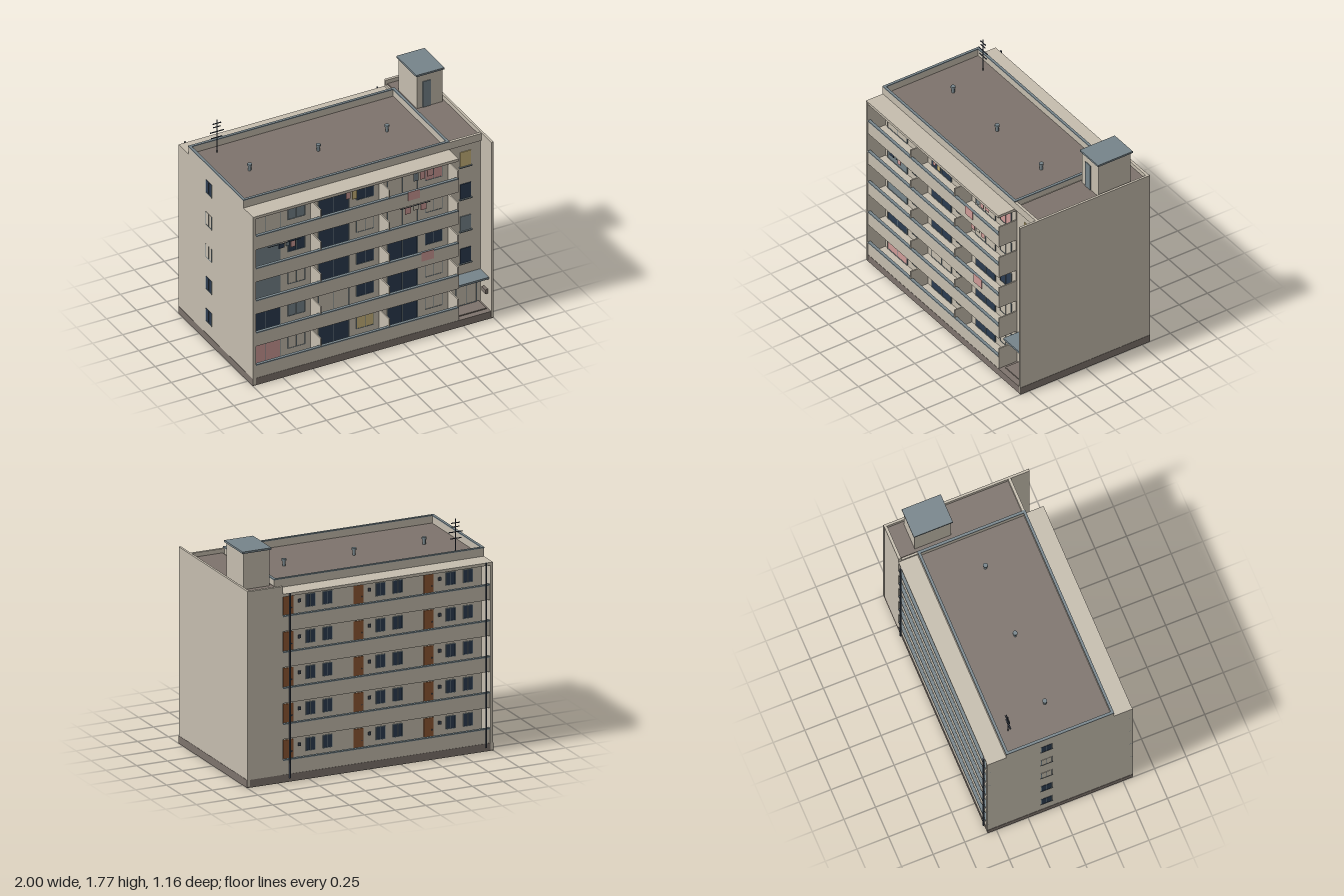
import * as THREE from 'three';

const mat = (name, color) => {
  const m = new THREE.MeshStandardMaterial({ color });
  m.name = name;
  return m;
};

export function createModel() {
  const root = new THREE.Group();
  root.name = 'apartmentBlock';
  const M = {
    wall: mat('plaster', 0xc5bdae),
    base: mat('roofFelt', 0x7d736c),
    slate: mat('slateMetal', 0x76848a),
    navy: mat('darkGlass', 0x2b3b50),
    pink: mat('pinkCloth', 0xcf9a97),
    yellow: mat('yellowCloth', 0xcab67c),
    door: mat('woodDoor', 0x8d5632),
    iron: mat('darkIron', 0x3a4350),
  };
  const add = (name, geo, m, x, y, z) => {
    const o = new THREE.Mesh(geo, m);
    o.name = name;
    o.position.set(x, y, z);
    root.add(o);
    return o;
  };
  // Box given by its limits on each axis
  const box = (name, m, x0, x1, y0, y1, z0, z1) =>
    add(name, new THREE.BoxGeometry(x1 - x0, y1 - y0, z1 - z0), m, (x0 + x1) / 2, (y0 + y1) / 2, (z0 + z1) / 2);
  const rod = (name, m, r, x, y0, y1, z, n = 8) =>
    add(name, new THREE.CylinderGeometry(r, r, y1 - y0, n), m, x, (y0 + y1) / 2, z);

  const PITCH = 0.277, R = 0.71, L = -0.976;
  const F = 0.42;                    // front and rear face of the flats
  const flats = [-0.715, -0.145, 0.425];

  // Main volumes
  box('plinth', M.base, -1, 1, 0, 0.06, -0.57, 0.577);
  box('flatsBlock', M.wall, L, R, 0.05, 1.45, -F, F);
  box('leftEndWall', M.wall, -0.998, L, 0.01, 1.45, -0.572, 0.579);
  box('rightEndWall', M.wall, 0.98, 0.998, 0.01, 1.515, -0.572, 0.579);
  box('stairTower', M.wall, R, 0.98, 0.05, 1.47, -0.57, 0.41);
  box('stairRoof', M.base, R + 0.015, 0.98, 1.47, 1.48, -0.55, 0.41);
  box('stairParapetBack', M.wall, R, 0.98, 1.47, 1.512, -0.57, -0.548);
  box('stairParapetFront', M.wall, R, 0.98, 1.45, 1.512, 0.408, 0.43);
  box('topSlab', M.wall, -0.998, R, 1.43, 1.452, -0.57, 0.577);

  // Main roof with parapet and coping
  box('roofDeck', M.base, -0.98, 0.7, 1.452, 1.46, -0.41, 0.42);
  const ring = (name, m, y0, y1, t, g) => {
    box(name, m, -0.998 - g, R + g, y0, y1, 0.43 - t, 0.43 + g);
    box(name, m, -0.998 - g, R + g, y0, y1, -0.42 - g, -0.42 + t);
    box(name, m, -0.998 - g, -0.998 + t, y0, y1, -0.42 + t, 0.43 - t);
    box(name, m, R - t, R + g, y0, y1, -0.42 + t, 0.43 - t);
  };
  ring('roofParapet', M.wall, 1.452, 1.514, 0.016, 0);
  ring('roofCoping', M.slate, 1.514, 1.522, 0.019, 0.002);
  for (const x of flats) {
    rod('ventPipe', M.slate, 0.012, x, 1.46, 1.5, 0, 12);
    rod('ventCap', M.slate, 0.018, x, 1.5, 1.515, 0, 12);
  }

  // Aerial
  rod('aerialMast', M.iron, 0.004, -0.81, 1.45, 1.74, -0.33);
  for (const [y, h] of [[1.71, 0.036], [1.68, 0.03], [1.64, 0.057], [1.59, 0.045]])
    box('aerialBar', M.iron, -0.81 - h, -0.81 + h, y - 0.003, y + 0.003, -0.333, -0.327);

  // Stair head on the roof
  box('stairHead', M.wall, 0.75, 0.96, 1.47, 1.76, -0.425, -0.14);
  box('stairHeadCap', M.slate, 0.738, 0.972, 1.76, 1.775, -0.437, -0.128);
  box('stairHeadDoor', M.slate, 0.795, 0.862, 1.48, 1.7, -0.141, -0.134);

  // Glazing on a front (s = 1) or rear (s = -1) wall
  const glazing = (name, m, x, w, y0, y1, z, s) => {
    const at = (n, mm, a, b, c, d, t) => box(n, mm, a, b, c, d, Math.min(z, z + s * t), Math.max(z, z + s * t));
    at(name, m, x - w / 2, x + w / 2, y0, y1, 0.004);
    for (const k of [-1, 0, 1])
      at(name + 'Mullion', M.slate, x + k * w / 2 - 0.002, x + k * w / 2 + 0.002, y0, y1, 0.007);
    for (const y of [y0, y1])
      at(name + 'Rail', M.slate, x - w / 2, x + w / 2, y - 0.002, y + 0.002, 0.007);
  };

  // Per floor: wide and narrow pane for each flat (w = drawn pale curtain)
  const panes = ['p w n y n w', 'n s w n n w', 's w n n n n', 's n n w w w', 'w s n n w p'].map((r) => r.split(' '));
  const key = { p: M.pink, w: M.wall, n: M.navy, y: M.yellow, s: M.slate };
  const endPanes = [M.navy, M.navy, M.wall, M.wall, M.navy];

  for (let i = 0; i < 5; i++) {
    const y = i * PITCH;
    // Balcony and gallery: slab, parapet, handrail
    for (const s of [1, -1]) {
      const o = s > 0 ? 0.575 : 0.568;
      const zz = (a, b) => (s > 0 ? [a, b] : [-b, -a]);
      box(s > 0 ? 'balconySlab' : 'gallerySlab', M.wall, L, R, y + 0.055, y + 0.07, ...zz(F, o - 0.001));
      box(s > 0 ? 'balconyParapet' : 'galleryParapet', M.wall, L, R, y + 0.056, y + 0.166, ...zz(o - 0.018, o));
      box(s > 0 ? 'balconyRail' : 'galleryRail', M.slate, -0.998, R, y + 0.166, y + 0.175, ...zz(o - 0.021, o + 0.003));
    }
    flats.forEach((c, j) => {
      // Balcony divider
      box('balconyDivider', M.wall, c + 0.279, c + 0.289, y + 0.06, y + 0.24, F, 0.572);
      glazing('balconyDoor', key[panes[i][j * 2]], c - 0.1, 0.25, y + 0.075, y + 0.275, F, 1);
      glazing('balconyWindow', key[panes[i][j * 2 + 1]], c + 0.16, 0.14, y + 0.13, y + 0.273, F, 1);
      box('shutterBox', M.slate, c - 0.235, c + 0.035, y + 0.277, y + 0.292, F, F + 0.045);
      // Gallery side
      box('flatDoor', M.door, c + 0.13, c + 0.21, y + 0.07, y + 0.272, -F - 0.006, -F);
      box('doorKnob', M.iron, c + 0.14, c + 0.148, y + 0.175, y + 0.183, -F - 0.012, -F - 0.006);
      box('meterBox', M.iron, c + 0.07, c + 0.09, y + 0.21, y + 0.235, -F - 0.01, -F);
      for (const d of [-0.01, -0.15])
        glazing('galleryWindow', M.navy, c + d, 0.075, y + 0.165, y + 0.262, -F, -1);
      rod('galleryLamp', M.slate, 0.014, c + 0.17, y + 0.322, y + 0.334, -0.5, 10);
      rod('balconyLamp', M.iron, 0.003, c, y + 0.3, y + 0.334, 0.5, 6);
    });
    // Window in the left end wall
    box('endWindow', endPanes[i], -1.0, -0.997, y + 0.17, y + 0.275, -0.145, -0.06);
    for (const z of [-0.145, -0.1025, -0.06])
      box('endWindowFrame', M.slate, -1.002, -0.997, y + 0.17, y + 0.275, z - 0.003, z + 0.003);
    box('endWindowSill', M.slate, -1.002, -0.997, y + 0.164, y + 0.17, -0.152, -0.053);
  }

  // Stair windows
  [M.navy, M.slate, M.navy, M.yellow].forEach((m, i) => {
    const y = 0.43 + i * PITCH;
    box('stairWindow', m, 0.81, 0.9, y, y + 0.125, 0.41, 0.416);
    box('stairWindowSill', M.slate, 0.803, 0.907, y - 0.008, y, 0.41, 0.425);
  });

  // Entrance
  box('entranceCanopy', M.slate, 0.73, 0.98, 0.32, 0.336, 0.41, 0.545);
  box('entranceStep', M.base, 0.735, 0.965, 0.06, 0.068, 0.41, 0.53);
  glazing('entranceDoor', M.wall, 0.86, 0.17, 0.07, 0.3, 0.41, 1);
  box('letterBox', M.base, 0.957, 0.98, 0.19, 0.225, 0.47, 0.53);

  // Rain pipes
  for (const x of [-0.94, 0.655]) rod('rainPipe', M.iron, 0.007, x, 0.03, 1.455, -0.577);

  // Laundry: colour, x0, x1, y0, y1, z
  const cloth = [
    [M.pink, 0.29, 0.385, 1.215, 1.287, 0.579], [M.pink, 0.4, 0.502, 0.66, 0.735, 0.579],
    [M.slate, 0.36, 0.4, 1.335, 1.397, 0.53], [M.pink, 0.413, 0.455, 1.335, 1.4, 0.53],
    [M.pink, 0.475, 0.523, 1.345, 1.4, 0.53], [M.pink, -0.2, -0.165, 1.345, 1.4, 0.53],
    [M.yellow, -0.148, -0.11, 1.33, 1.4, 0.53], [M.navy, -0.76, -0.712, 1.085, 1.12, 0.53],
    [M.slate, -0.7, -0.67, 1.09, 1.12, 0.53], [M.pink, -0.66, -0.62, 1.07, 1.12, 0.53],
    [M.pink, 0.29, 0.34, 1.07, 1.123, 0.53], [M.wall, 0.358, 0.405, 1.085, 1.123, 0.53],
    [M.pink, 0.42, 0.465, 1.07, 1.123, 0.53],
  ];
  for (const [m, x0, x1, y0, y1, z] of cloth) box('laundry', m, x0, x1, y0, y1, z - 0.002, z + 0.002);
  for (const [x0, x1, y] of [[0.25, 0.55, 1.4], [-0.3, -0.05, 1.4], [-0.85, -0.58, 1.121], [0.25, 0.5, 1.124]])
    box('washingLine', M.iron, x0, x1, y - 0.002, y + 0.002, 0.528, 0.532);

  return root;
}
